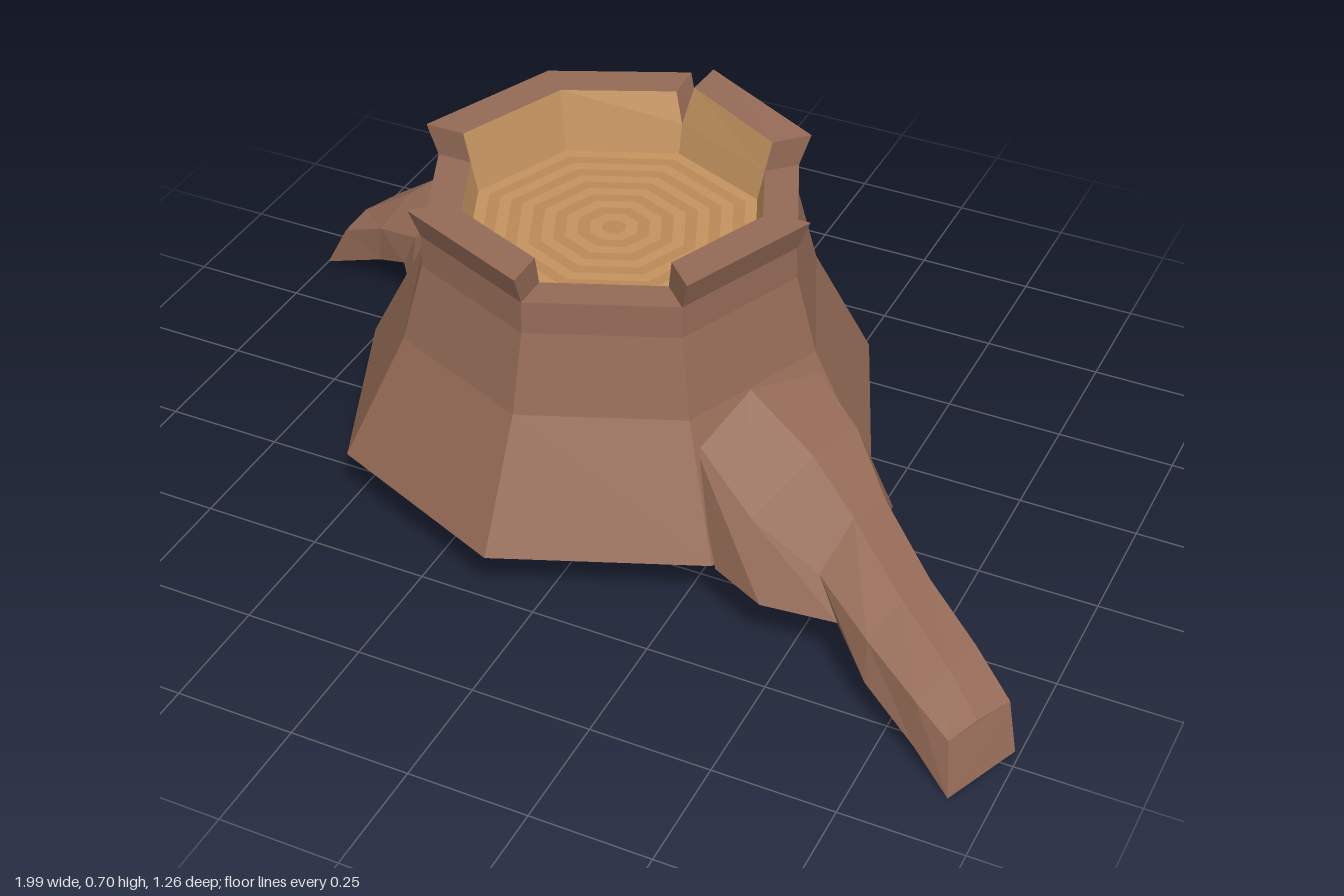
import * as THREE from 'three';

const mat = (color) => new THREE.MeshStandardMaterial({ color, flatShading: true, roughness: 1 });
const bark = mat(0x946a56);
const wood = mat(0xc4935f);
const woodDark = mat(0xbb8a57);

function add(parent, name, geometry, material) {
  const mesh = new THREE.Mesh(geometry, material);
  mesh.name = name;
  parent.add(mesh);
  return mesh;
}

// Skin over cross-sections (counter-clockwise seen from the far end).
function loft(sections, { edges = sections[0].length, capStart = false, capEnd = false } = {}) {
  const n = sections[0].length, index = [];
  for (let i = 0; i < sections.length - 1; i++) {
    for (let j = 0; j < edges; j++) {
      const k = (j + 1) % n;
      const a = i * n + j, b = i * n + k, c = b + n, d = a + n;
      index.push(a, b, c, a, c, d);
    }
  }
  const last = (sections.length - 1) * n;
  for (let j = 1; j < n - 1; j++) {
    if (capStart) index.push(0, j + 1, j);
    if (capEnd) index.push(last, last + j, last + j + 1);
  }
  const g = new THREE.BufferGeometry();
  g.setAttribute('position', new THREE.Float32BufferAttribute(sections.flat(2), 3));
  g.setIndex(index);
  const flat = g.toNonIndexed();
  flat.computeVertexNormals();
  return flat;
}

const lathe = (pts) => new THREE.LatheGeometry(pts.map(([r, y]) => new THREE.Vector2(r, y)), 8);
const polar = (r, y, a) => [r * Math.sin(a), y, r * Math.cos(a)];

export function createModel() {
  const model = new THREE.Group();
  model.name = 'treeStump';

  const stump = new THREE.Group();
  stump.name = 'stump';
  stump.position.set(-0.09, 0, -0.055);
  model.add(stump);

  // Flared eight-sided trunk with a flat ledge on top
  add(stump, 'trunk', lathe([[0, 0.125], [0.58, 0.125], [0.447, 0.385], [0.402, 0.55],
    [0.4, 0.62], [0.325, 0.62]]), bark);

  // Sunken cut face with growth rings
  add(stump, 'innerWall', lathe([[0.325, 0.62], [0.31, 0.555]].reverse()), wood).material =
    Object.assign(wood.clone(), { side: THREE.DoubleSide });
  const rings = 12, step = 0.31 / rings;
  for (let i = 0; i < rings; i++) {
    const ring = new THREE.RingGeometry(i * step, (i + 1) * step, 8);
    ring.rotateX(-Math.PI / 2).translate(0, 0.555, 0);
    add(stump, 'growthRing', ring, i % 2 ? wood : woodDark);
  }

  // Broken bark rim: side number, end twists of the top edge, height at the start and end
  const rim = [
    [1, 0, 0, 0.685, 0.685],
    [3, 0, -0.06, 0.685, 0.705],
    [4, 0.06, 0, 0.685, 0.685],
    [5, 0, 0, 0.685, 0.685],
    [7, 0, 0, 0.685, 0.685],
  ];
  for (const [side, twist0, twist1, y0, y1] of rim) {
    const ends = [[side, twist0, y0], [side + 1, twist1, y1]].map(([s, twist, y]) => {
      const a = s * Math.PI / 4;
      return [polar(0.34, y, a + twist), polar(0.425, y, a + twist),
        polar(0.4, 0.62, a), polar(0.325, 0.62, a)];
    });
    add(stump, 'rimBark', loft(ends, { edges: 3, capStart: true, capEnd: true }), bark);
    add(stump, 'rimInside', loft(ends.map((e) => [e[3], e[0]]), { edges: 1 }), wood);
  }

  // Roots: each section is three points over the top, then two along the bottom
  const leftRoot = [
    [[0.36, 0.35, -0.05], [0.28, 0.385, 0.11], [0.22, 0.35, 0.25], [0.33, 0.125, 0.36], [0.48, 0.125, -0.05]],
    [[0.49, 0.3, 0.04], [0.45, 0.31, 0.17], [0.39, 0.25, 0.33], [0.45, 0.125, 0.42], [0.57, 0.125, 0.03]],
    [[0.6, 0.245, 0.16], [0.57, 0.255, 0.25], [0.55, 0.2, 0.37], [0.61, 0.14, 0.42], [0.59, 0.14, 0.15]],
    [[0.74, 0.19, 0.28], [0.72, 0.195, 0.37], [0.69, 0.165, 0.47], [0.7, 0.09, 0.5], [0.74, 0.09, 0.28]],
    [[0.87, 0.15, 0.375], [0.85, 0.15, 0.46], [0.82, 0.13, 0.55], [0.83, 0.045, 0.575], [0.87, 0.045, 0.375]],
    [[0.965, 0.1, 0.44], [0.93, 0.105, 0.52], [0.9, 0.1, 0.59], [0.92, 0, 0.63], [0.99, 0, 0.46]],
  ];
  const rightRoot = [
    [[-0.48, 0.36, -0.13], [-0.42, 0.38, -0.33], [-0.36, 0.34, -0.4], [-0.46, 0.125, -0.46], [-0.6, 0.125, -0.18]],
    [[-0.59, 0.27, -0.24], [-0.57, 0.325, -0.37], [-0.56, 0.27, -0.48], [-0.57, 0.125, -0.505], [-0.68, 0.125, -0.225]],
    [[-0.71, 0.2, -0.31], [-0.7, 0.245, -0.39], [-0.68, 0.235, -0.48], [-0.7, 0.115, -0.505], [-0.75, 0.115, -0.32]],
    [[-0.83, 0.16, -0.36], [-0.8, 0.215, -0.44], [-0.78, 0.21, -0.53], [-0.78, 0.085, -0.545], [-0.84, 0.07, -0.365]],
    [[-0.94, 0.11, -0.385], [-0.93, 0.125, -0.46], [-0.89, 0.13, -0.55], [-0.92, 0, -0.575], [-1, 0, -0.395]],
  ];
  add(model, 'leftRoot', loft(leftRoot, { capStart: true, capEnd: true }), bark);
  add(model, 'rightRoot', loft(rightRoot, { capStart: true, capEnd: true }), bark);

  return model;
}
